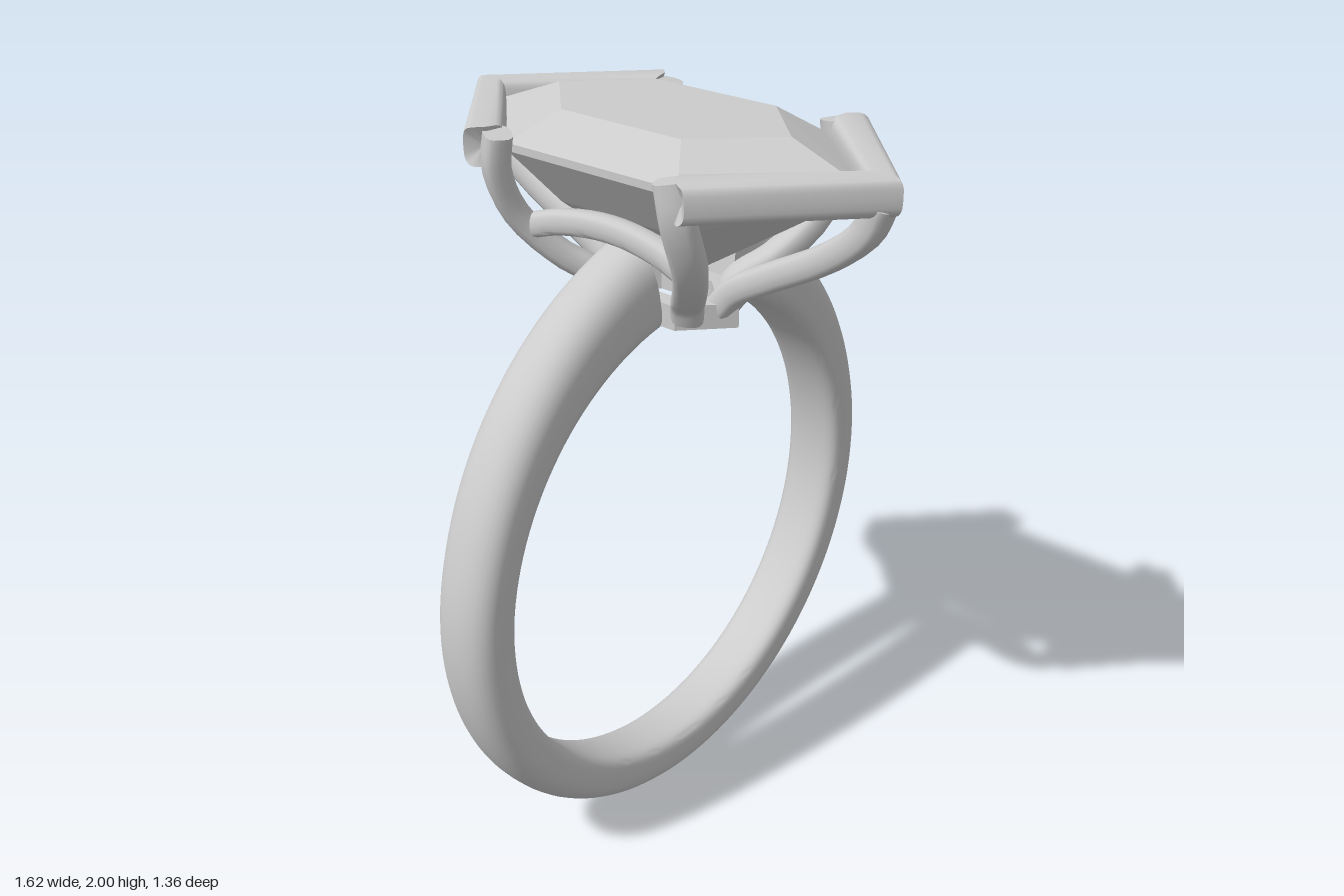
import * as THREE from 'three';
import { toCreasedNormals } from 'three/addons/utils/BufferGeometryUtils.js';
import { ConvexGeometry } from 'three/addons/geometries/ConvexGeometry.js';

const V = (x, y, z) => new THREE.Vector3(x, y, z);
const grey = new THREE.MeshStandardMaterial({ color: 0xcccccc, roughness: 0.6 });
const stone = new THREE.MeshStandardMaterial({ color: 0xcccccc, roughness: 0.6, flatShading: true });

// Rounded-square outline in the range -1..1; a higher power gives squarer corners
function roundedOutline(n, power) {
  return Array.from({ length: n }, (_, i) => {
    const a = (i / n) * Math.PI * 2, c = Math.cos(a), s = Math.sin(a);
    const p = typeof power === 'function' ? power(c) : power;
    return [Math.sign(c) * Math.abs(c) ** (2 / p), Math.sign(s) * Math.abs(s) ** (2 / p)];
  });
}

// Capped solid through a list of equally sized point rings, always facing outward
function loft(rings, crease = 0.7) {
  const n = rings[0].length, pts = rings.flat(), index = [];
  for (let r = 0; r < rings.length - 1; r++) {
    for (let i = 0; i < n; i++) {
      const a = r * n + i, b = r * n + (i + 1) % n;
      index.push(a, b, b + n, a, b + n, a + n);
    }
  }
  for (const [r, flip] of [[0, true], [rings.length - 1, false]]) {
    const mid = rings[r].reduce((m, p) => m.addScaledVector(p, 1 / n), V(0, 0, 0));
    const c = pts.push(mid) - 1;
    for (let i = 0; i < n; i++) {
      const a = r * n + i, b = r * n + (i + 1) % n;
      index.push(c, ...(flip ? [b, a] : [a, b]));
    }
  }
  // Negative volume means the winding has to be turned
  let volume = 0;
  for (let i = 0; i < index.length; i += 3) {
    volume += pts[index[i]].dot(V(0, 0, 0).crossVectors(pts[index[i + 1]], pts[index[i + 2]]));
  }
  if (volume < 0) index.reverse();
  const geometry = new THREE.BufferGeometry().setFromPoints(pts);
  geometry.setIndex(index);
  return toCreasedNormals(geometry, crease);
}

// Rounded bar along a smooth path; side is its width direction
function bar(points, side, width, depth, steps = 18) {
  const curve = new THREE.CatmullRomCurve3(points);
  const outline = roundedOutline(16, 3);
  const rings = [];
  for (let k = 0; k <= steps; k++) {
    const p = curve.getPoint(k / steps), t = curve.getTangent(k / steps);
    const s = side.clone().addScaledVector(t, -side.dot(t)).normalize();
    const d = V(0, 0, 0).crossVectors(t, s);
    rings.push(outline.map(([u, v]) =>
      p.clone().addScaledVector(s, u * width / 2).addScaledVector(d, v * depth / 2)));
  }
  return loft(rings);
}

// Band: thickens towards the shoulders and stops at both sides of the setting
function bandGeometry() {
  const outline = roundedOutline(32, c => (c > 0 ? 2.4 : 4));
  const rings = [], steps = 128, gap = 0.19;
  for (let k = 0; k <= steps; k++) {
    const a = gap + (k / steps) * (Math.PI * 2 - 2 * gap);
    const fromTop = Math.min(a, Math.PI * 2 - a);
    const outer = 0.81 + 0.125 * Math.max(0, 1 - fromTop / 1.3) ** 1.5;
    const inner = 0.67, half = 0.087 + 0.01 * (1 + Math.cos(a)) / 2;
    rings.push(outline.map(([u, v]) => {
      const r = (outer + inner) / 2 + u * (outer - inner) / 2;
      return V(Math.sin(a) * r, 0.81 + Math.cos(a) * r, v * half);
    }));
  }
  return loft(rings);
}

// V-shaped guard around one pointed end of the stone
function guardGeometry(sz) {
  const outline = roundedOutline(24, 3.4);
  const ring = sx => outline.map(([u, v]) => {
    const reach = u * 0.055, y = 1.92 + v * 0.05;
    return sx === 0
      ? V(0, y, sz * (0.625 + reach))
      : V(sx * Math.min(0.36, 0.33 + reach), y, sz * Math.max(0.29, 0.295 + reach));
  });
  return loft([ring(-1), ring(0), ring(1)]);
}

// Elongated hexagonal stone: table, girdle, pavilion and keel
function stoneGeometry() {
  const points = [];
  const hexagon = (x, z, tip, y) => {
    for (const s of [-1, 1]) points.push(V(0, y, s * tip), V(x, y, s * z), V(-x, y, s * z));
  };
  hexagon(0.18, 0.19, 0.37, 2.0);
  hexagon(0.288, 0.27, 0.57, 1.925);
  hexagon(0.288, 0.27, 0.57, 1.905);
  hexagon(0.19, 0.19, 0.36, 1.77);
  points.push(V(0, 1.6, 0.09), V(0, 1.6, -0.09));
  return new ConvexGeometry(points);
}

// Open hexagonal frame under the setting
function baseGeometry() {
  const hexagon = (Type, x, z, tip) => new Type([
    [0, tip], [-x, z], [-x, -z], [0, -tip], [x, -z], [x, z],
  ].map(([a, b]) => new THREE.Vector2(a, b)));
  const shape = hexagon(THREE.Shape, 0.12, 0.12, 0.23);
  shape.holes.push(hexagon(THREE.Path, 0.07, 0.085, 0.155));
  const geometry = new THREE.ExtrudeGeometry(shape, { depth: 0.065, bevelEnabled: false });
  return geometry.rotateX(-Math.PI / 2).translate(0, 1.483, 0);
}

export function createModel() {
  const model = new THREE.Group();
  model.name = 'ring';
  const add = (name, geometry, material = grey) => {
    const mesh = new THREE.Mesh(geometry, material);
    mesh.name = name;
    model.add(mesh);
  };

  add('band', bandGeometry());
  add('stone', stoneGeometry(), stone);
  add('baseFrame', baseGeometry());

  for (const sz of [1, -1]) {
    const end = sz > 0 ? 'front' : 'back';
    add(end + 'Guard', guardGeometry(sz));
    // Prong beneath the point of the stone
    add(end + 'Prong', bar([
      V(0, 1.9, sz * 0.625), V(0, 1.82, sz * 0.59), V(0, 1.735, sz * 0.49),
      V(0, 1.64, sz * 0.32), V(0, 1.58, sz * 0.22), V(0, 1.52, sz * 0.17),
    ], V(1, 0, 0), 0.085, 0.075));
    // Prongs beneath the corners
    for (const sx of [1, -1]) {
      add(end + (sx > 0 ? 'Left' : 'Right') + 'Prong', bar([
        V(sx * 0.315, 1.955, sz * 0.275), V(sx * 0.31, 1.86, sz * 0.29),
        V(sx * 0.255, 1.73, sz * 0.28), V(sx * 0.17, 1.62, sz * 0.21),
        V(sx * 0.1, 1.56, sz * 0.145), V(sx * 0.08, 1.51, sz * 0.13),
      ], V(sx * 0.5, 0, -sz * 0.85), 0.085, 0.07));
    }
  }

  // Rails joining the corner prongs over the band
  for (const sx of [1, -1]) {
    add(sx > 0 ? 'leftRail' : 'rightRail', bar([
      V(sx * 0.235, 1.7, 0.27), V(sx * 0.225, 1.735, 0.15), V(sx * 0.22, 1.75, 0),
      V(sx * 0.225, 1.735, -0.15), V(sx * 0.235, 1.7, -0.27),
    ], V(1, 0, 0), 0.06, 0.065));
  }
  return model;
}
